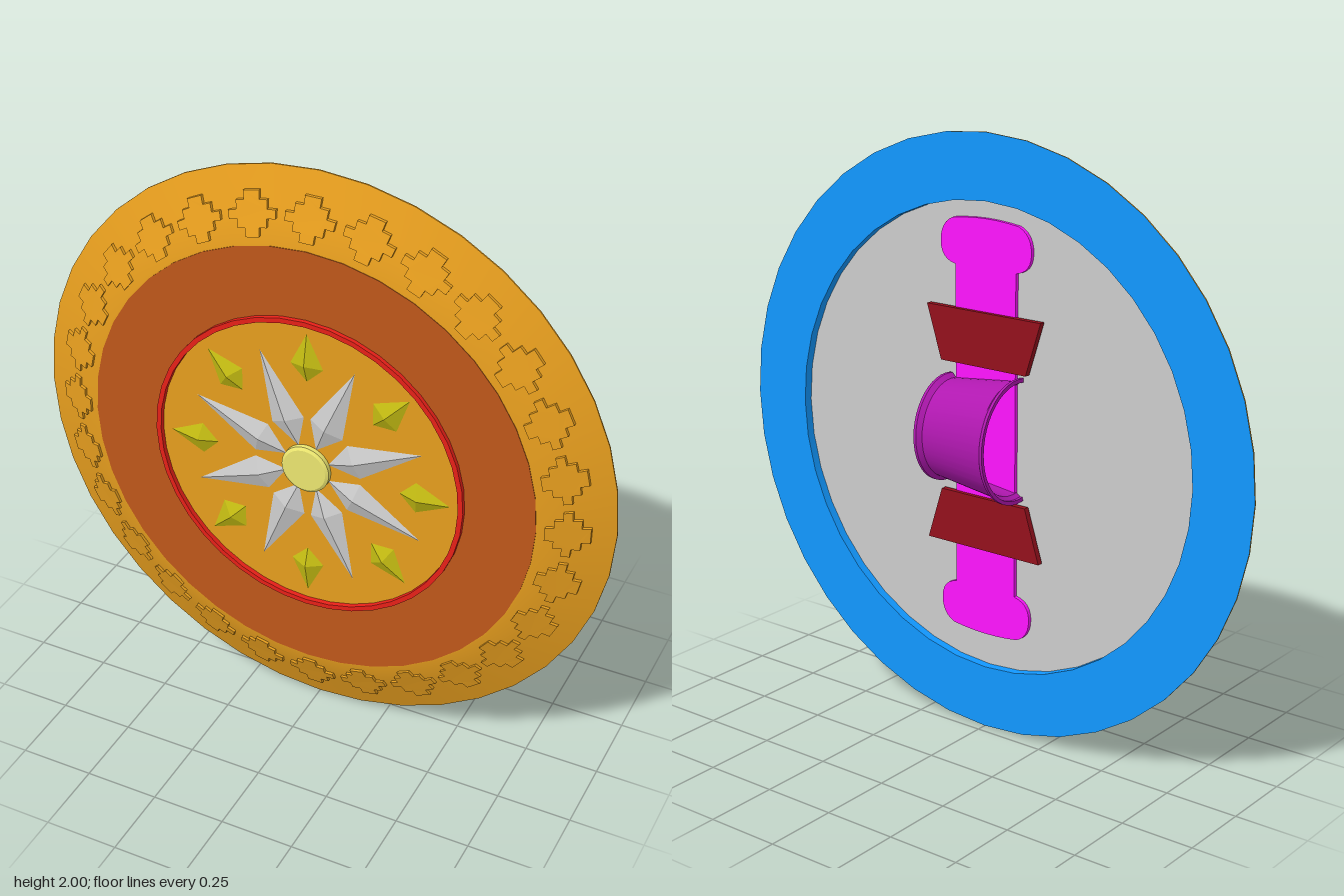
import * as THREE from 'three';
import { toCreasedNormals } from 'three/addons/utils/BufferGeometryUtils.js';

const SIDES = 40;
const material = (color, options = {}) => new THREE.MeshStandardMaterial({ color, ...options });
const GOLD = material(0xe79e1e), BROWN = material(0xbf581a), RED = material(0xe82018);
const OLIVE = material(0xc4bc12), PALE = material(0xece670), BLUE = material(0x1298ff);
const GREY = material(0xcccccc), MAGENTA = material(0xff14ff), DARK_RED = material(0x94101c);
const PURPLE = material(0xb018b0, { side: THREE.DoubleSide });

// Height of the sloping rim at a given radius
const rimHeight = (r) => 0.04 + (0.088 * (1 - r)) / 0.22;

function mesh(name, geometry, mat) {
  const m = new THREE.Mesh(geometry, mat);
  m.name = name;
  return m;
}

// Turned part around the z axis; profile is [radius, z], running back to front
function turned(name, profile, mat) {
  const points = profile.map(([r, z]) => new THREE.Vector2(r, z));
  const geometry = new THREE.LatheGeometry(points, SIDES).rotateX(Math.PI / 2);
  return mesh(name, toCreasedNormals(geometry, 0.5), mat);
}

// Faceted kite-shaped spike pointing along +y
function kite(inner, wide, half, tip, base, apexY, apexZ) {
  const corners = [[0, inner, base], [half, wide, base], [0, tip, base], [-half, wide, base]];
  const apex = [0, apexY, apexZ];
  const data = corners.flatMap((c, i) => [...c, ...corners[(i + 1) % 4], ...apex]);
  const geometry = new THREE.BufferGeometry();
  geometry.setAttribute('position', new THREE.Float32BufferAttribute(data, 3));
  geometry.computeVertexNormals();
  return geometry;
}

function ringOf(name, count, offset, geometry, mat) {
  const group = new THREE.Group();
  group.name = name + 's';
  for (let i = 0; i < count; i++) {
    const m = mesh(name, geometry, mat);
    m.rotation.z = offset + (i * Math.PI * 2) / count;
    group.add(m);
  }
  return group;
}

// Stepped ornament, bent around the rim and raised from its slope
function steppedOrnament(count) {
  const pitch = (Math.PI * 2) / count;
  const widths = [0.13, 0.27, 0.42, 0.27, 0.13];
  const r0 = 0.8, step = 0.026;
  const side = widths.flatMap((w, i) => [[w, r0 + i * step], [w, r0 + (i + 1) * step]]);
  const outline = [...side, ...side.map(([u, v]) => [-u, v]).reverse()];
  const shape = new THREE.Shape(outline.map(([u, v]) => new THREE.Vector2(u * pitch, v)));
  const geometry = new THREE.ExtrudeGeometry(shape, { depth: 0.016, bevelEnabled: false });
  const p = geometry.attributes.position;
  for (let i = 0; i < p.count; i++) {
    const angle = p.getX(i), r = p.getY(i);
    p.setXYZ(i, r * Math.sin(angle), r * Math.cos(angle), rimHeight(r) - 0.006 + p.getZ(i));
  }
  geometry.computeVertexNormals();
  return geometry;
}

// Flat plate from an outline, its front at z
function plate(name, shape, z, depth, mat) {
  const geometry = new THREE.ExtrudeGeometry(shape, { depth, bevelEnabled: false, curveSegments: 6 });
  return mesh(name, geometry.translate(0, 0, z), mat);
}

function strapShape() {
  const s = new THREE.Shape();
  s.moveTo(-0.12, -0.53);
  for (const d of [1, -1]) {
    // Flared end with rounded lobes, bottom first and then top
    s.lineTo(-d * 0.12, -d * 0.54);
    s.quadraticCurveTo(-d * 0.18, -d * 0.55, -d * 0.18, -d * 0.61);
    s.quadraticCurveTo(-d * 0.18, -d * 0.67, -d * 0.13, -d * 0.69);
    s.quadraticCurveTo(0, -d * 0.71, d * 0.13, -d * 0.69);
    s.quadraticCurveTo(d * 0.18, -d * 0.67, d * 0.18, -d * 0.61);
    s.quadraticCurveTo(d * 0.18, -d * 0.55, d * 0.12, -d * 0.54);
  }
  return s;
}

// Tapered half-round arm cuff with a flared lip at each end
function cuffGeometry() {
  const outer = [[0.19, -0.145], [0.19, -0.135], [0.179, -0.122], [0.152, 0.125], [0.165, 0.14], [0.165, 0.15]];
  const inner = outer.map(([r, x]) => [r - 0.012, x]).reverse();
  const points = [...outer, ...inner, outer[0]].map(([r, x]) => new THREE.Vector2(r, x));
  const geometry = new THREE.LatheGeometry(points, 24, -0.15, Math.PI + 0.3);
  geometry.applyMatrix4(new THREE.Matrix4().makeBasis(
    new THREE.Vector3(0, 0, -1), new THREE.Vector3(1, 0, 0), new THREE.Vector3(0, -1, 0)));
  geometry.scale(1, 1.09, 1);
  return toCreasedNormals(geometry, 0.6);
}

export function createModel() {
  const model = new THREE.Group();
  model.name = 'roundShield';
  const shield = new THREE.Group();
  shield.name = 'shieldBody';
  shield.position.y = 1;
  model.add(shield);

  // Front face
  shield.add(
    turned('slopingRim', [[1, 0.035], [1, 0.04], [0.89, rimHeight(0.89)], [0.78, 0.128], [0.76, 0.128]], GOLD),
    turned('brownBand', [[0.773, 0.12], [0.773, 0.13], [0.53, 0.13]], BROWN),
    turned('redRing', [[0.54, 0.12], [0.54, 0.145], [0.523, 0.145], [0.523, 0.12]], RED),
    turned('centreDisc', [[0.53, 0.128], [0, 0.128]], GOLD),
    turned('hub', [[0.083, 0.125], [0.083, 0.144], [0.073, 0.15], [0, 0.15]], PALE),
    ringOf('rimOrnament', 28, 0, steppedOrnament(28), GOLD),
    ringOf('starPetal', 8, Math.PI / 8, kite(0.08, 0.175, 0.06, 0.425, 0.128, 0.18, 0.15), GREY),
    ringOf('diamondStud', 8, 0, kite(0.32, 0.375, 0.056, 0.49, 0.128, 0.385, 0.15), OLIVE),
  );

  // Back face with its shallow recess
  shield.add(
    turned('backRing', [[0.785, 0.066], [0.785, 0.035], [1, 0.035]], BLUE),
    turned('backPanel', [[0, 0.065], [0.786, 0.065]], GREY),
  );

  // Grip: strap, two cross plates and the arm cuff
  const grip = new THREE.Group();
  grip.name = 'grip';
  grip.position.set(0.013, 1.026, 0);
  grip.add(plate('strap', strapShape(), 0.052, 0.014, MAGENTA));
  for (const d of [1, -1]) {
    const corners = [[-0.17, 0.22], [0.17, 0.22], [0.227, 0.4], [-0.227, 0.4]];
    const shape = new THREE.Shape(corners.map(([x, y]) => new THREE.Vector2(x, y * d)));
    grip.add(plate(d > 0 ? 'upperCrossPlate' : 'lowerCrossPlate', shape, 0.038, 0.02, DARK_RED));
  }
  const cuff = mesh('armCuff', cuffGeometry(), PURPLE);
  cuff.position.z = 0.035;
  grip.add(cuff);
  model.add(grip);
  return model;
}
